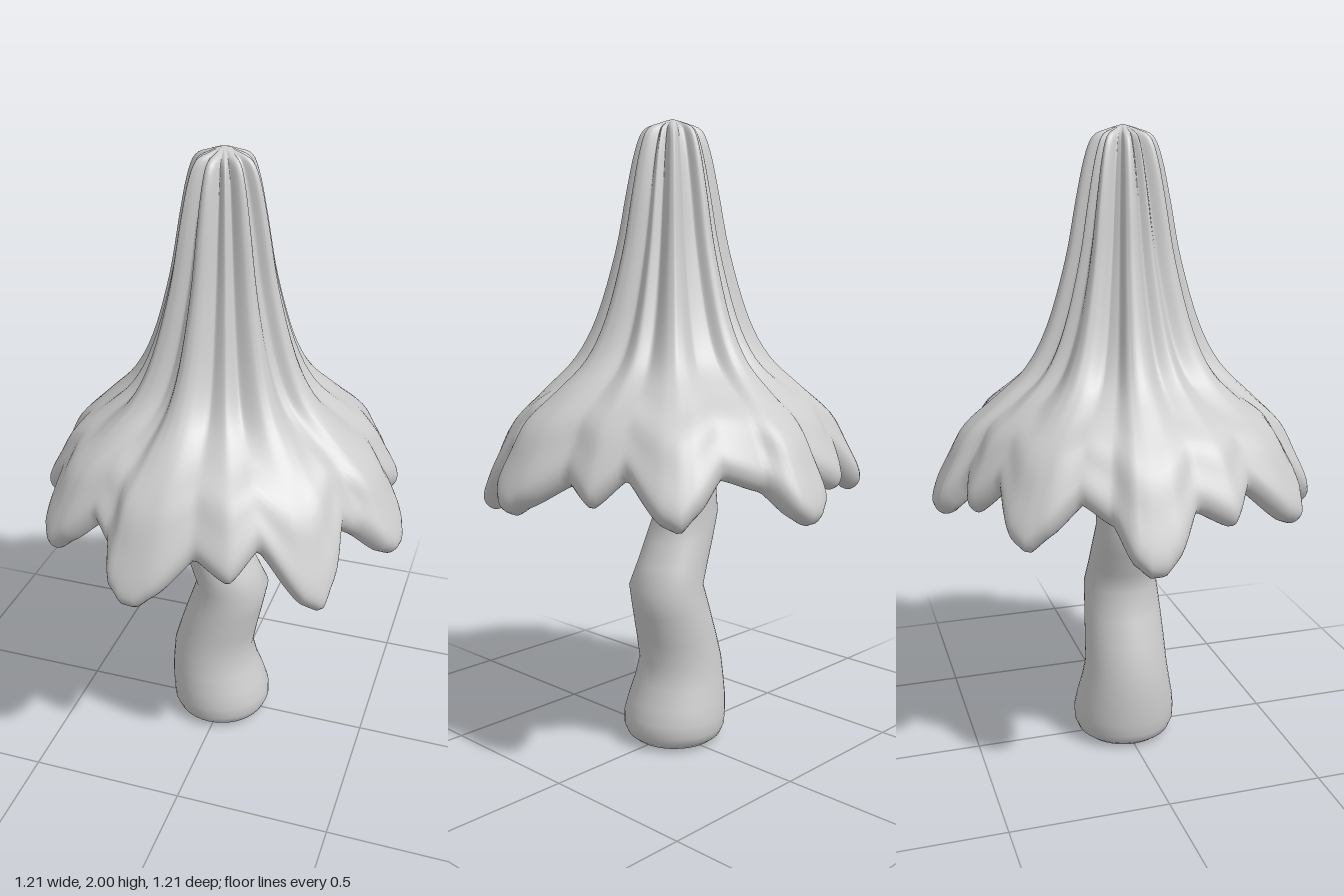
import * as THREE from 'three';

const material = new THREE.MeshStandardMaterial({ color: 0xcccccc, side: THREE.DoubleSide });

// Smooth closed-ring surface; rows run from the top downwards, point(row, angle) -> [x, y, z]
function loft(name, rows, cols, point) {
  const pos = [], index = [];
  for (let i = 0; i <= rows; i++)
    for (let j = 0; j < cols; j++) pos.push(...point(i, (j / cols) * Math.PI * 2));
  for (let i = 0; i < rows; i++)
    for (let j = 0; j < cols; j++) {
      const k = (j + 1) % cols;
      const a = i * cols + j, b = i * cols + k, c = a + cols, d = b + cols;
      index.push(a, b, c, b, d, c);
    }
  const geo = new THREE.BufferGeometry();
  geo.setAttribute('position', new THREE.Float32BufferAttribute(pos, 3));
  geo.setIndex(index);
  geo.computeVertexNormals();
  const mesh = new THREE.Mesh(geo, material);
  mesh.name = name;
  return mesh;
}

// Rim of one quarter, two blunt lobes and a small tooth: [angle in degrees, ridge amount, drop]
const firstLobe = [[5, 0.8, 0.8], [9, 0.97, 1], [13, 1, 1], [17.5, 0.86, 0.8], [23.6, 0.12, 0.3]];
const secondLobe = [[39, 0.72, 0.65], [44, 0.98, 1], [49, 0.86, 0.85]];
const notch = (deg, height) => [deg, 0, height];
// Each quarter: shift of its first lobe and lowest points of both lobes
const quarters = [[0, 0.84, 0.78], [-1, 0.8, 0.84], [-4, 0.79, 0.84], [-8, 0.83, 0.84]];
const rim = quarters.flatMap(([shift, low1, low2], q) => [
  ...firstLobe.map(([deg, ridge, drop]) => [deg + shift, ridge, 0.97 + (low1 - 0.97) * drop]),
  notch(30, 0.97),
  ...secondLobe.map(([deg, ridge, drop]) => [deg, ridge, 0.97 + (low2 - 0.97) * drop]),
  notch(61, 0.97), [71, 0.5, 0.89], notch(82, 0.94),
].map(([deg, ridge, height]) => [deg + q * 90, ridge, height]));

// Ridge amount and rim height at an angle
function rimAt(angle) {
  let deg = (angle * 180) / Math.PI;
  if (deg < rim[0][0]) deg += 360;
  let n = 0;
  while (n < rim.length - 1 && rim[n + 1][0] <= deg) n++;
  const a = rim[n], b = rim[(n + 1) % rim.length];
  const end = n === rim.length - 1 ? b[0] + 360 : b[0];
  const u = (deg - a[0]) / (end - a[0]);
  const t = u * 0.7 + u * u * (3 - 2 * u) * 0.3;
  return { ridge: a[1] + (b[1] - a[1]) * t, height: a[2] + (b[2] - a[2]) * t };
}

// Cap profile from tip, over the rim, to the underside: [radius, y, groove depth, rim influence]
const capProfile = [
  [0, 2, 0, 0], [0.045, 1.987, 0.25, 0], [0.092, 1.965, 0.32, 0], [0.119, 1.9, 0.29, 0], [0.145, 1.78, 0.25, 0],
  [0.18, 1.6, 0.21, 0], [0.24, 1.4, 0.18, 0], [0.31, 1.27, 0.17, 0.05], [0.41, 1.17, 0.16, 0.2],
  [0.51, 1.07, 0.15, 0.45], [0.565, 0.96, 0.155, 0.75], [0.608, 0.86, 0.157, 1],
  [0.605, 0.815, 0.157, 1], [0.57, 0.795, 0.155, 1], [0.525, 0.825, 0.155, 1],
  [0.47, 0.93, 0.155, 0.75], [0.41, 1.01, 0.15, 0.4], [0.32, 1.06, 0.14, 0.1],
  [0.24, 1.06, 0.1, 0], [0.17, 1.01, 0.05, 0], [0.1, 0.92, 0, 0],
];
const profileCurve = (a, b) =>
  new THREE.CatmullRomCurve3(capProfile.map(p => new THREE.Vector3(p[a], p[b], 0)), false, 'catmullrom', 0.5);
const shapeCurve = profileCurve(0, 1), foldCurve = profileCurve(2, 3);

// Stem: [y, centre x, radius], crooked with a bulging foot
const stemRows = [
  [1.06, -0.02, 0.19], [1.02, -0.025, 0.15], [0.96, -0.04, 0.118], [0.88, -0.05, 0.105], [0.76, -0.064, 0.104],
  [0.68, -0.033, 0.11], [0.6, 0, 0.115], [0.53, 0.03, 0.121], [0.44, 0.006, 0.127], [0.35, -0.018, 0.132],
  [0.27, -0.037, 0.136], [0.2, -0.031, 0.148], [0.14, -0.02, 0.161], [0.09, -0.01, 0.168],
  [0.05, -0.008, 0.167], [0.022, -0.008, 0.155], [0.006, -0.008, 0.135], [0, -0.008, 0.1], [0, -0.008, 0],
];

export function createModel() {
  const model = new THREE.Group();
  model.name = 'mushroom';

  // Pleated cap with a scalloped rim and hollow, folded underside
  const capSteps = 80;
  model.add(loft('cap', capSteps, 240, (i, angle) => {
    const p = shapeCurve.getPoint(i / capSteps);
    const f = foldCurve.getPoint(i / capSteps);
    const { ridge, height } = rimAt(angle);
    const r = Math.max(0, p.x) * (1 - f.x * (1 - ridge));
    return [r * Math.cos(angle), p.y + f.y * (height - 0.8), r * Math.sin(angle)];
  }));

  // Crooked stem flaring into the cap
  model.add(loft('stem', stemRows.length - 1, 40, (i, angle) => {
    const [y, cx, r] = stemRows[i];
    return [cx + r * Math.cos(angle), y, r * Math.sin(angle)];
  }));
  return model;
}
